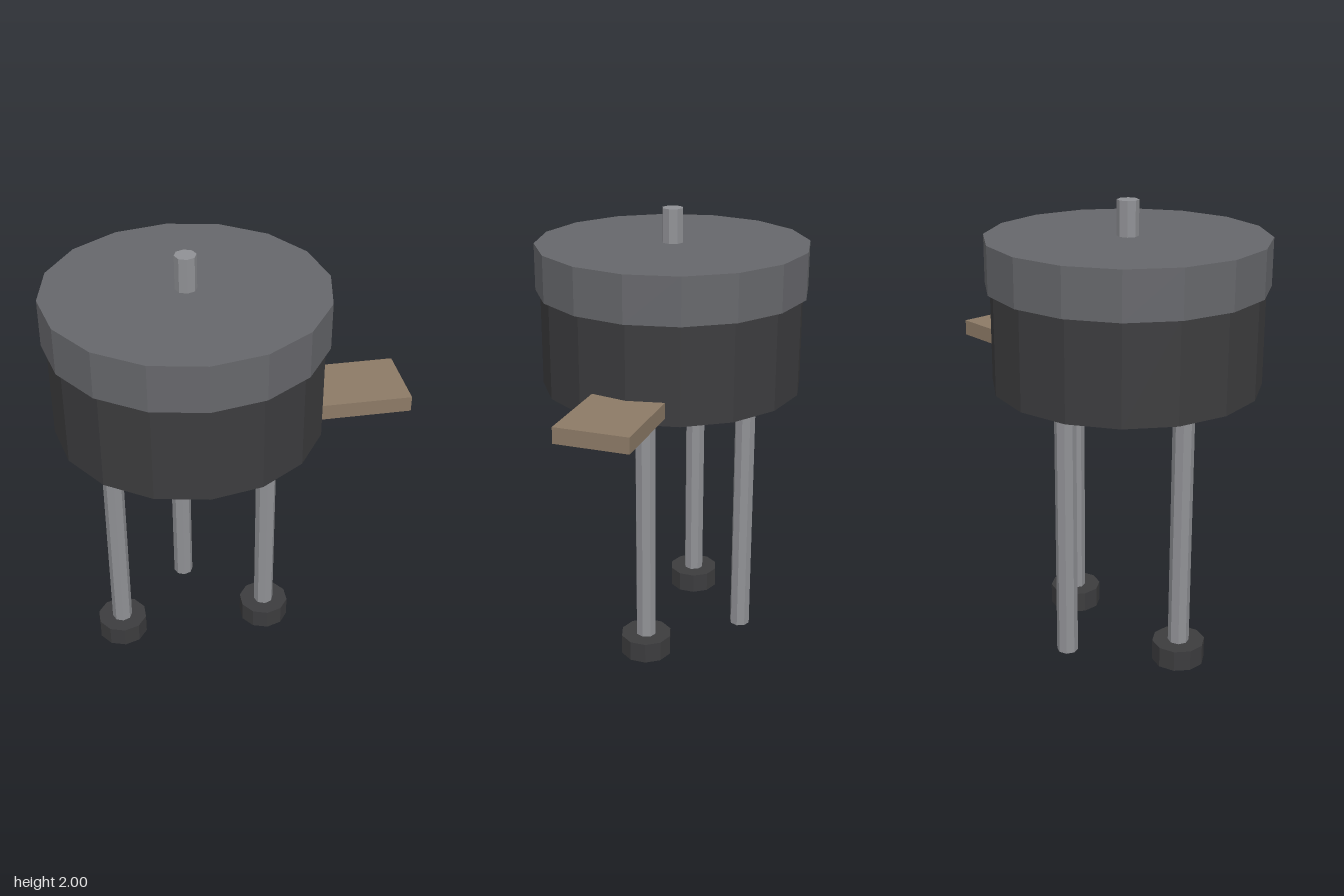
import * as THREE from 'three';

export function createModel() {
  const model = new THREE.Group();
  const material = (color) => new THREE.MeshStandardMaterial({ color, flatShading: true });
  const black = material(0x3c3c3e);
  const grey = material(0x66676b);
  const steel = material(0x909195);
  const wood = material(0x8c7a66);
  const axis = -0.176; // x of the kettle's centre

  function add(name, geometry, mat, x, y, z) {
    const mesh = new THREE.Mesh(geometry, mat);
    mesh.name = name;
    mesh.position.set(x, y, z);
    model.add(mesh);
  }

  // Upright cylinder spanning y0 to y1
  function post(name, radius, sides, y0, y1, mat, x, z = 0) {
    const geometry = new THREE.CylinderGeometry(radius, radius, y1 - y0, sides);
    add(name, geometry, mat, x, (y0 + y1) / 2, z);
  }

  // Bowl, lid and vent pipe
  post('bowl', 0.582, 16, 1.213, 1.645, black, axis);
  post('lid', 0.603, 16, 1.645, 1.85, grey, axis);
  post('vent', 0.0465, 8, 1.85, 2, steel, axis);

  // Side shelf, slightly sunk into the bowl
  add('sideShelf', new THREE.BoxGeometry(0.4, 0.07, 0.322), wood, 0.575, 1.281, 0);

  // Two side legs with wheels, and one plain back leg
  for (const [side, s] of [['left', 1], ['right', -1]]) {
    const x = axis + s * 0.349;
    post(side + 'Leg', 0.0465, 8, 0.028, 1.22, steel, x);
    post(side + 'Wheel', 0.1163, 10, 0, 0.093, black, x);
  }
  post('backLeg', 0.0465, 8, 0.028, 1.22, steel, axis, -0.349);

  return model;
}
